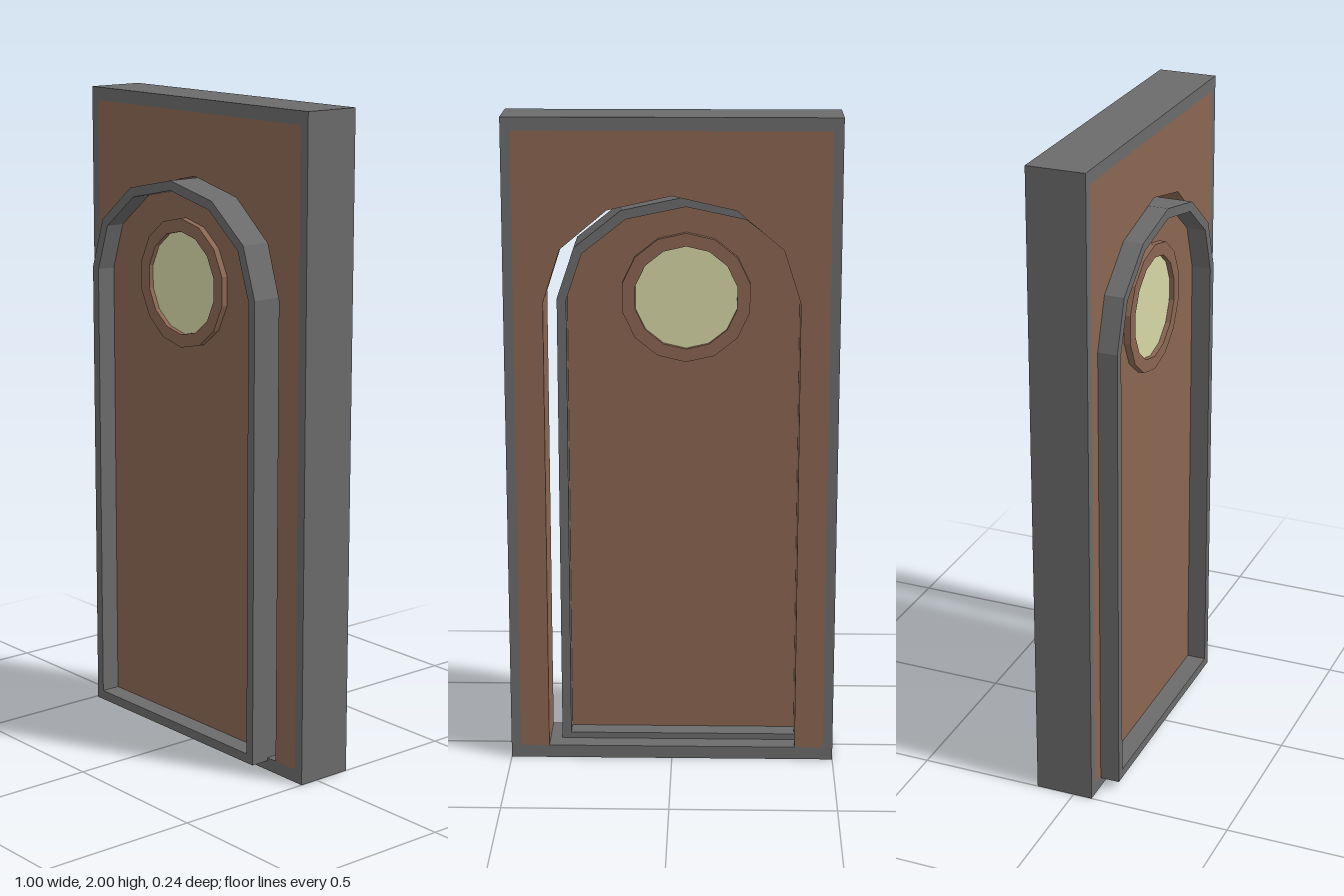
import * as THREE from 'three';

const grey = new THREE.MeshStandardMaterial({ name: 'grey metal', color: 0x6b6b6b });
const brown = new THREE.MeshStandardMaterial({ name: 'brown panel', color: 0x8a6652 });
const cream = new THREE.MeshStandardMaterial({ name: 'cream glass', color: 0xd6d6a6 });

// Rectangle topped by a faceted half ellipse
function archPoints(half, bottom, spring, apex) {
  const pts = [new THREE.Vector2(-half, bottom), new THREE.Vector2(half, bottom)];
  for (let i = 0; i <= 6; i++) {
    const a = (i / 6) * Math.PI;
    pts.push(new THREE.Vector2(half * Math.cos(a), spring + (apex - spring) * Math.sin(a)));
  }
  return pts;
}

function rectPoints(half, bottom, top) {
  return [[-half, bottom], [half, bottom], [half, top], [-half, top]].map(p => new THREE.Vector2(...p));
}

function ringPoints(radius, cy, sides = 14) {
  return Array.from({ length: sides }, (_, i) => {
    const a = Math.PI / 2 + (i / sides) * Math.PI * 2;
    return new THREE.Vector2(radius * Math.cos(a), cy + radius * Math.sin(a));
  });
}

// Flat slab from z0 to z1, with an optional hole
function slab(name, material, outline, z0, z1, hole) {
  const shape = new THREE.Shape(outline);
  if (hole) shape.holes.push(new THREE.Path(hole));
  const geo = new THREE.ExtrudeGeometry(shape, { depth: z1 - z0, bevelEnabled: false });
  geo.translate(0, 0, z0);
  const mesh = new THREE.Mesh(geo, material);
  mesh.name = name;
  return mesh;
}

export function createModel() {
  const model = new THREE.Group();
  model.name = 'archedDoorway';

  // Surrounding frame and the wall with its arched opening
  model.add(slab('outerFrame', grey, rectPoints(0.5, 0, 2), -0.12, 0.06, rectPoints(0.47, 0.04, 1.96)));
  const arch = archPoints(0.382, 0.04, 1.45, 1.77);
  const wall = [
    new THREE.Vector2(0.382, 0.04), new THREE.Vector2(0.47, 0.04), new THREE.Vector2(0.47, 1.96),
    new THREE.Vector2(-0.47, 1.96), new THREE.Vector2(-0.47, 0.04), new THREE.Vector2(-0.382, 0.04),
    ...arch.slice(2).reverse(),
  ];
  model.add(slab('wall', brown, wall, -0.12, 0.06));

  // Door leaf, shifted forward and to one side of the opening
  const door = new THREE.Group();
  door.name = 'door';
  door.position.set(-0.041, 0, 0.03);
  const inner = archPoints(0.358, 0.059, 1.445, 1.728);
  door.add(slab('doorRim', grey, archPoints(0.386, 0.03, 1.45, 1.758), -0.09, 0.09, inner));
  door.add(slab('doorPanel', brown, inner, -0.03, 0.03));

  // Round window showing on both faces
  door.add(slab('windowRing', brown, ringPoints(0.197, 1.445), -0.05, 0.05, ringPoints(0.157, 1.445)));
  door.add(slab('windowGlass', cream, ringPoints(0.157, 1.445), -0.035, 0.035));
  model.add(door);

  return model;
}
